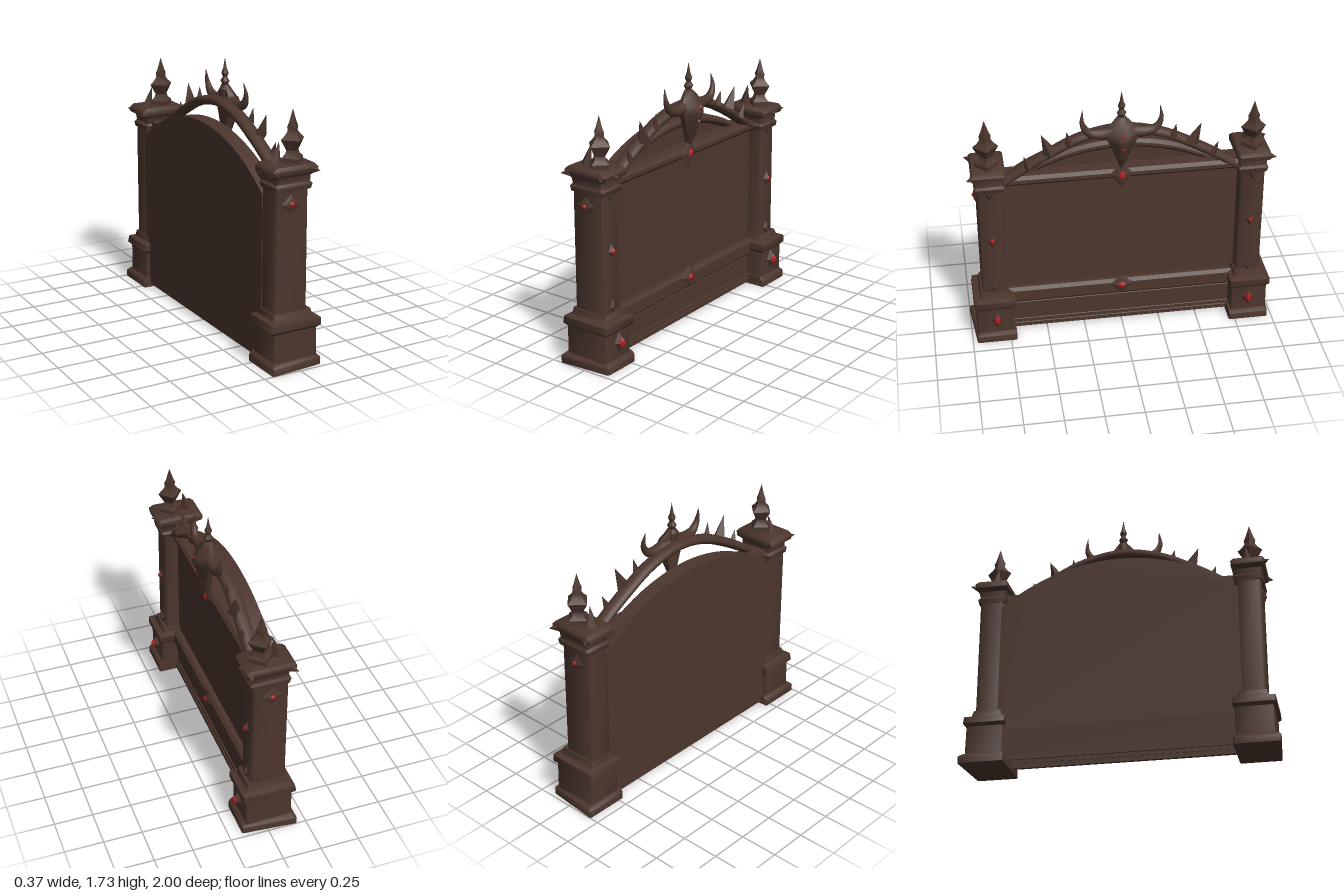
import * as THREE from 'three';
import { toCreasedNormals } from 'three/addons/utils/BufferGeometryUtils.js';

const wood = new THREE.MeshStandardMaterial({ color: 0x4c362e });
wood.name = 'darkWood';
const ruby = new THREE.MeshStandardMaterial({ color: 0xb02020 });
ruby.name = 'redGem';

function add(parent, name, geometry, material = wood) {
  const mesh = new THREE.Mesh(geometry, material);
  mesh.name = name;
  parent.add(mesh);
  return mesh;
}

const crease = (g, a = 0.6) => toCreasedNormals(g, a);

// Closed solid through horizontal rings; each ring is a list of [x, y, z],
// running counter-clockwise when seen from above
function loft(rings) {
  const n = rings[0].length, pos = rings.flat(2), index = [];
  for (let i = 0; i < rings.length - 1; i++) {
    for (let j = 0; j < n; j++) {
      const a = i * n + j, b = i * n + (j + 1) % n;
      index.push(a, b, b + n, a, b + n, a + n);
    }
  }
  const top = (rings.length - 1) * n;
  for (let j = 1; j < n - 1; j++) index.push(0, j + 1, j, top, top + j, top + j + 1);
  const g = new THREE.BufferGeometry();
  g.setAttribute('position', new THREE.Float32BufferAttribute(pos, 3));
  g.setIndex(index);
  return crease(g, 0.9);
}

// Chamfered rectangle ring on the pillar of side s
function rectRing(s, y, x0, x1, zIn, zOut, c = 0.008) {
  const z0 = Math.min(s * zIn, s * zOut), z1 = Math.max(s * zIn, s * zOut);
  return [[x0 + c, y, z1], [x1 - c, y, z1], [x1, y, z1 - c], [x1, y, z0 + c],
    [x1 - c, y, z0], [x0 + c, y, z0], [x0, y, z0 + c], [x0, y, z1 - c]];
}

// Outline in the z-y plane, extruded from x0 to x1, with an optional bevel
function plate(points, x0, x1, bevel = 0) {
  const g = new THREE.ExtrudeGeometry(new THREE.Shape(points), {
    depth: x1 - x0 - bevel, bevelEnabled: bevel > 0, bevelSize: bevel, bevelThickness: bevel,
    bevelOffset: -bevel, bevelSegments: 1 });
  return crease(g.rotateY(Math.PI / 2).translate(x0, 0, 0));
}

// Points along a shallow circular arch
function archPoints(half, top, r, n = 28) {
  return Array.from({ length: n + 1 }, (_, i) => {
    const z = -half + 2 * half * i / n;
    return new THREE.Vector2(z, top - r + Math.sqrt(r * r - z * z));
  });
}

// Pointed four-sided spike from a base point to a tip
function spike(parent, name, base, tip, r) {
  const a = new THREE.Vector3(...base), d = new THREE.Vector3(...tip).sub(a);
  const g = new THREE.ConeGeometry(r, d.length(), 4).translate(0, d.length() / 2, 0);
  const mesh = add(parent, name, crease(g));
  mesh.position.copy(a);
  mesh.quaternion.setFromUnitVectors(new THREE.Vector3(0, 1, 0), d.normalize());
}

// Diamond mount with a red stone; turn is the heading about y, 0 faces +x
function medallion(parent, x, y, z, hw, hh, { turn = 0, stone = 0.4, depth = 1 } = {}) {
  const group = new THREE.Group();
  group.name = 'medallion';
  group.position.set(x, y, z);
  group.rotation.y = turn;
  group.scale.x = depth;
  const cut = (topR, sides) => new THREE.CylinderGeometry(topR, 1, 1, sides).translate(0, 0.5, 0).rotateZ(-Math.PI / 2);
  add(group, 'diamondMount', crease(cut(0.42, 4).scale(0.02, hh, hw)));
  if (stone) {
    const gem = cut(0.4, 6).rotateX(Math.PI / 6).scale(0.012, hh * stone, hw * stone).translate(0.018, 0, 0);
    add(group, 'gem', crease(gem), ruby);
  }
  parent.add(group);
}

function finial(parent, name, profile, x, z, sides) {
  const g = new THREE.LatheGeometry(profile.map(([r, y]) => new THREE.Vector2(r, y)), sides);
  add(parent, name, crease(g)).position.set(x, 0, z);
}

// Tube narrowing to a point
function horn(parent, name, points, radius) {
  const curve = new THREE.CatmullRomCurve3(points.map(p => new THREE.Vector3(...p)));
  const n = 14, sides = 8, g = new THREE.TubeGeometry(curve, n, radius, sides);
  const p = g.attributes.position, v = new THREE.Vector3();
  for (let i = 0; i <= n; i++) {
    const c = curve.getPointAt(i / n), k = 1 - Math.pow(i / n, 1.5);
    for (let j = 0; j <= sides; j++) {
      const id = i * (sides + 1) + j;
      v.fromBufferAttribute(p, id).sub(c).multiplyScalar(k).add(c);
      p.setXYZ(id, v.x, v.y, v.z);
    }
  }
  add(parent, name, crease(g, 1));
}

function pillar(root, s) {
  const group = new THREE.Group();
  group.name = s > 0 ? 'leftPillar' : 'rightPillar';
  root.add(group);
  const ring = (...a) => rectRing(s, ...a);

  // Foot, slanted on its outer side
  const foot = [[0, 0], [0.045, 0], [0.065, 0.02]].map(([y, inset]) =>
    ring(y, -0.19 + inset, 0.165 - inset, 0.71, 0.97 - inset).map(([x, yy, z]) =>
      [x, yy, Math.abs(z) > 0.9 ? z + s * 0.03 * (0.165 - x) / 0.355 : z]));
  add(group, 'foot', loft(foot));
  add(group, 'plinth', loft([ring(0.06, -0.165, 0.138, 0.725, 0.963), ring(0.26, -0.165, 0.138, 0.725, 0.96)]));
  add(group, 'plinthLedge', loft([
    ring(0.245, -0.17, 0.145, 0.72, 0.962), ring(0.262, -0.188, 0.16, 0.71, 0.978),
    ring(0.305, -0.18, 0.16, 0.71, 0.975), ring(0.318, -0.15, 0.125, 0.74, 0.935),
    ring(0.355, -0.145, 0.115, 0.745, 0.925)]));
  add(group, 'shaft', loft([ring(0.35, -0.135, 0.093, 0.755, 0.915, 0.015), ring(1.12, -0.135, 0.09, 0.755, 0.915, 0.015)]));
  add(group, 'capital', loft([
    ring(1.11, -0.14, 0.105, 0.745, 0.925), ring(1.14, -0.145, 0.112, 0.738, 0.93),
    ring(1.155, -0.13, 0.1, 0.75, 0.92), ring(1.195, -0.135, 0.1, 0.745, 0.925),
    ring(1.212, -0.17, 0.135, 0.73, 0.94), ring(1.24, -0.172, 0.14, 0.73, 0.945),
    ring(1.262, -0.15, 0.12, 0.74, 0.935)]));

  // Spikes around the capital
  for (const x of [-0.13, 0.1]) spike(group, 'capitalSpike', [x, 1.225, s * 0.92], [x * 1.3, 1.225, s * 0.975], 0.03);
  spike(group, 'frontCapitalSpike', [0.11, 1.225, s * 0.835], [0.155, 1.225, s * 0.835], 0.03);
  spike(group, 'rearSpike', [-0.09, 1.25, s * 0.83], [-0.06, 1.39, s * 0.82], 0.04);

  finial(group, 'pillarFinial', [[0.075, 1.255], [0.075, 1.29], [0.05, 1.31], [0.042, 1.335],
    [0.06, 1.365], [0.08, 1.4], [0.052, 1.425], [0.034, 1.45], [0.038, 1.475], [0.026, 1.5], [0, 1.58]], 0.02, s * 0.84, 4);

  // Gem mounts
  medallion(group, 0.135, 0.17, s * 0.835, 0.042, 0.072, { stone: 0.52, depth: 1.6 });
  medallion(group, 0.088, 0.75, s * 0.835, 0.034, 0.055, { stone: 0.45 });
  medallion(group, 0.088, 0.39, s * 0.835, 0.028, 0.055, { stone: 0 });
  medallion(group, 0.084, 1.11, s * 0.835, 0.04, 0.07, { stone: 0 });
  medallion(group, -0.03, 1.03, s * 0.91, 0.075, 0.07, { turn: -s * Math.PI / 2, stone: 0.27 });
}

function panel(root) {
  const group = new THREE.Group();
  group.name = 'centrePanel';
  root.add(group);

  // Arched backing, continued to the floor by a thin sheet
  const back = [new THREE.Vector2(-0.77, 0.22), ...archPoints(0.77, 1.345, 1.2), new THREE.Vector2(0.77, 0.22)];
  add(group, 'archedBacking', plate(back, -0.14, -0.06));
  add(group, 'lowerBackSheet', new THREE.PlaneGeometry(1.54, 0.2).rotateY(-Math.PI / 2).translate(-0.14, 0.12, 0));
  add(group, 'frontPanel', new THREE.BoxGeometry(0.06, 0.82, 1.52).translate(-0.03, 0.72, 0));

  // Raised, bevelled band under the arch
  const band = [...archPoints(0.65, 1.345, 1.2), ...archPoints(0.55, 1.285, 1.2).reverse()];
  add(group, 'archBand', plate(band, -0.07, -0.02, 0.02));

  // Rails running between the pillars: [name, bottom, top, back x, front x, chamfer]
  for (const [name, y0, y1, xb, x, c] of [
    ['bottomStrip', 0.015, 0.048, 0.02, 0.045, 0.003], ['bottomMoulding', 0.045, 0.072, 0.015, 0.035, 0.003],
    ['lowerBoard', 0.07, 0.2, 0.005, 0.025, 0.003], ['lowerGroove', 0.195, 0.215, -0.1, 0, 0.003],
    ['lowerRail', 0.21, 0.325, -0.1, 0.05, 0.02], ['upperRail', 1.105, 1.17, -0.1, 0.045, 0.02]]) {
    const p = [[xb, y0], [x - c, y0], [x, y0 + c], [x, y1 - c], [x - c, y1], [xb, y1]];
    const shape = new THREE.Shape(p.map(q => new THREE.Vector2(...q)));
    const g = new THREE.ExtrudeGeometry(shape, { depth: 1.52, bevelEnabled: false });
    add(group, name, crease(g.translate(0, 0, -0.76)));
  }
  medallion(group, 0.045, 1.14, 0, 0.072, 0.098, { stone: 0.36 });
  medallion(group, 0.048, 0.295, 0, 0.078, 0.07, { stone: 0.38 });
}

function crest(root) {
  const group = new THREE.Group();
  group.name = 'crest';
  root.add(group);

  // Free-standing arch above the panel
  const half = [[0.76, 1.118], [0.6, 1.222], [0.44, 1.315], [0.245, 1.406]];
  const path = new THREE.CatmullRomCurve3([
    ...half.map(([z, y]) => new THREE.Vector3(0, y, -z)), new THREE.Vector3(0, 1.45, 0),
    ...half.reverse().map(([z, y]) => new THREE.Vector3(0, y, z))]);
  add(group, 'archBeam', new THREE.TubeGeometry(path, 40, 0.031, 10).scale(1.5, 1, 1).translate(0.005, 0, 0));

  // Thorns: [base z, base y, tip z, tip y, radius]
  for (const s of [1, -1]) {
    for (const [z, y, zt, yt, r] of [[0.58, 1.235, 0.612, 1.325, 0.03], [0.445, 1.33, 0.5, 1.47, 0.045], [0.325, 1.38, 0.342, 1.475, 0.028]]) {
      spike(group, 'archThorn', [0.04, y, s * z], [0.05, yt, s * zt], r);
    }
    horn(group, s > 0 ? 'leftHorn' : 'rightHorn', [[0.055, 1.46, s * 0.03], [0.055, 1.445, s * 0.13],
      [0.058, 1.462, s * 0.205], [0.055, 1.525, s * 0.245], [0.04, 1.615, s * 0.24]], 0.044);
  }

  // Narrow beast head: [y, half width, front x]
  const rings = [[1.2, 0.014, 0.065], [1.28, 0.04, 0.1], [1.36, 0.07, 0.125], [1.42, 0.1, 0.145],
    [1.46, 0.11, 0.132], [1.505, 0.075, 0.1], [1.555, 0.025, 0.07]];
  add(group, 'beastHead', loft(rings.map(([y, w, x]) => {
    const m = 0.03 + (x - 0.03) * 0.45;
    return [[0.03, y, w * 0.8], [m, y, w], [x, y, w * 0.25], [x, y, -w * 0.25], [m, y, -w], [0.03, y, -w * 0.8]];
  })));
  for (const [x, y] of [[0.137, 1.455], [0.128, 1.36]]) {
    add(group, 'headGem', new THREE.OctahedronGeometry(1).scale(0.012, 0.016, 0.011), ruby).position.set(x, y, 0);
  }
  finial(group, 'crestFinial', [[0.03, 1.48], [0.035, 1.53], [0.018, 1.555], [0.03, 1.58],
    [0.014, 1.605], [0.024, 1.63], [0.012, 1.66], [0, 1.73]], 0.045, 0, 8);
}

export function createModel() {
  const root = new THREE.Group();
  root.name = 'ornateArchedPanel';
  panel(root);
  crest(root);
  for (const s of [1, -1]) pillar(root, s);
  return root;
}
